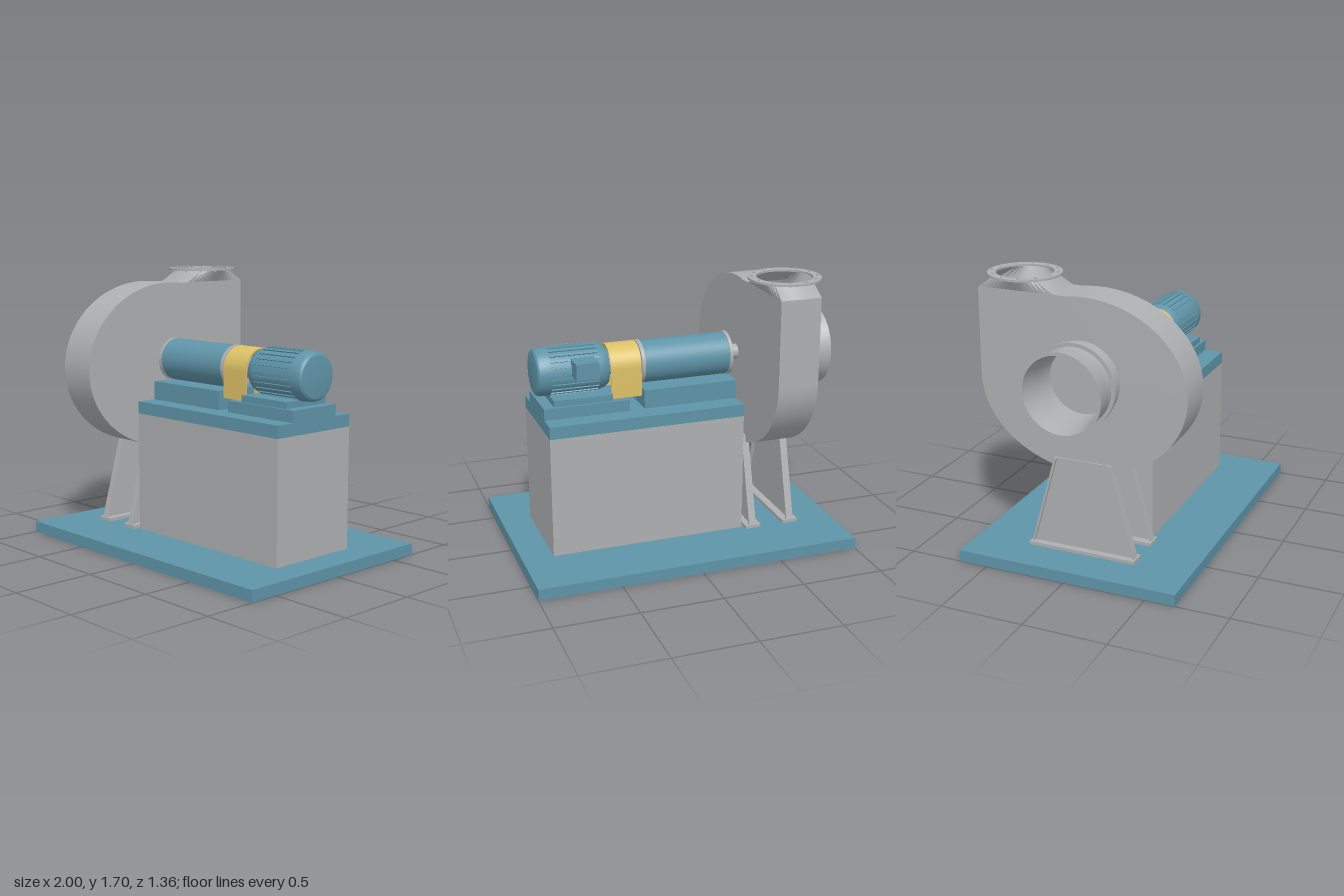
import * as THREE from 'three';
import { toCreasedNormals } from 'three/addons/utils/BufferGeometryUtils.js';

const AXIS_Y = 1.13; // height of the shaft line
const FAN_X0 = -0.715, FAN_X1 = -0.465;

export function createModel() {
  const root = new THREE.Group();
  root.name = 'centrifugalBlower';

  const mat = (name, color, side = THREE.FrontSide) => {
    const m = new THREE.MeshStandardMaterial({ color, side });
    m.name = name;
    return m;
  };
  const steel = mat('greySteel', 0xadafb1, THREE.DoubleSide);
  const teal = mat('tealPaint', 0x5f94a8);
  const yellow = mat('yellowGuard', 0xdcc066);

  const add = (name, geo, material, parent = root) => {
    const m = new THREE.Mesh(geo, material);
    m.name = name;
    parent.add(m);
    return m;
  };
  const box = (name, x0, x1, y0, y1, z0, z1, material) =>
    add(name, new THREE.BoxGeometry(x1 - x0, y1 - y0, z1 - z0)
      .translate((x0 + x1) / 2, (y0 + y1) / 2, (z0 + z1) / 2), material);
  // Turned part around the shaft line, profile given as [x, radius]
  const turned = (name, profile, material, seg = 64) => {
    const pts = profile.map(([x, r]) => new THREE.Vector2(r, x));
    const g = new THREE.LatheGeometry(pts, seg).rotateZ(-Math.PI / 2).translate(0, AXIS_Y, 0);
    return add(name, toCreasedNormals(g, 0.5), material);
  };
  const disc = (name, x0, x1, r, material) =>
    turned(name, [[x0, 0], [x0, r], [x1, r], [x1, 0]], material);
  // Outline drawn as (-z, y), extruded from x0 to x1
  const sideExtrude = (shape, x0, x1) => toCreasedNormals(
    new THREE.ExtrudeGeometry(shape, { depth: x1 - x0, bevelEnabled: false, curveSegments: 32 })
      .rotateY(Math.PI / 2).translate(x0, 0, 0), 0.5);
  // Sheet whose points come from a rule f(u, v)
  const sheet = (nu, f) => {
    const g = new THREE.PlaneGeometry(1, 1, nu, 1);
    const p = g.attributes.position, uv = g.attributes.uv;
    for (let i = 0; i < p.count; i++) p.setXYZ(i, ...f(uv.getX(i), uv.getY(i)));
    g.computeVertexNormals();
    return toCreasedNormals(g, 0.5);
  };

  // Base plate, plinth and stepped pedestals
  box('basePlate', -1, 1, 0, 0.07, -0.68, 0.68, teal);
  box('plinth', -0.4, 0.81, 0.07, 0.81, -0.3, 0.3, steel);
  box('plinthCap', -0.4, 0.81, 0.81, 0.885, -0.3, 0.3, teal);
  box('bearingPedestal', -0.4, 0.19, 0.885, 1.0, -0.17, 0.17, teal);
  box('motorPedestal', 0.285, 0.81, 0.885, 0.955, -0.18, 0.18, teal);
  box('motorFoot', 0.385, 0.745, 0.955, 0.995, -0.165, 0.165, teal);

  // Bearing housing and shaft
  disc('bearingHousing', -0.385, 0.185, 0.13, teal);
  disc('bearingRingFront', -0.395, -0.375, 0.135, steel);
  disc('bearingRingRear', 0.168, 0.19, 0.135, steel);
  disc('shaft', FAN_X1, -0.39, 0.046, steel);
  disc('coupling', 0.19, 0.39, 0.06, steel);

  // Coupling guard: arched sheet open at the bottom
  const guard = new THREE.Shape();
  guard.moveTo(0.132, 0.955).lineTo(0.132, AXIS_Y);
  guard.absarc(0, AXIS_Y, 0.132, 0, Math.PI, false);
  guard.lineTo(-0.132, 0.955).lineTo(-0.124, 0.955).lineTo(-0.124, AXIS_Y);
  guard.absarc(0, AXIS_Y, 0.124, Math.PI, 0, true);
  guard.lineTo(0.124, 0.955);
  add('couplingGuard', sideExtrude(guard, 0.195, 0.385), yellow);

  // Motor: body with rounded fan cover, cooling ribs, terminal box
  turned('motorBody', [[0.387, 0], [0.387, 0.118], [0.4, 0.128], [0.44, 0.141], [0.745, 0.141],
    [0.745, 0.147], [0.805, 0.144], [0.818, 0.139], [0.827, 0.128], [0.83, 0.112], [0.83, 0]], teal);
  const ribs = new THREE.Group();
  ribs.name = 'coolingRibs';
  root.add(ribs);
  for (let i = 0; i < 24; i++) {
    const rib = new THREE.BoxGeometry(0.29, 0.02, 0.013).translate(0.6, 0.138, 0)
      .rotateX((i + 0.5) * Math.PI / 12).translate(0, AXIS_Y, 0);
    add('coolingRib', rib, teal, ribs);
  }
  box('terminalBox', 0.485, 0.625, 1.125, 1.225, -0.235, -0.1, teal);

  // Scroll outline, from the outlet throat round to the straight outlet wall
  const scroll = [[-0.17, 1.605]];
  for (let i = 0; i <= 64; i++) {
    const a = THREE.MathUtils.lerp(1.73, Math.PI * -1, i / 64);
    const rz = Math.cos(a) > 0 ? 0.63 : 0.645;
    scroll.push([rz * Math.cos(a), 1.09 + 0.52 * Math.sin(a)]);
  }
  scroll.push([-0.645, 1.605]);
  const n = scroll.length - 1;
  add('scrollWall', sheet(n, (u, v) => {
    const [z, y] = scroll[Math.round(u * n)];
    return [v > 0.5 ? FAN_X0 : FAN_X1, y, z];
  }), steel);

  // Side plates, the left one open to the inlet
  for (const [name, x, hole] of [['inletSidePlate', FAN_X0, true], ['driveSidePlate', FAN_X1, false]]) {
    const plate = new THREE.Shape(scroll.map(([z, y]) => new THREE.Vector2(-z, y)));
    if (hole) plate.holes.push(new THREE.Path().absarc(0, AXIS_Y, 0.2, 0, Math.PI * 2, true));
    const g = new THREE.ShapeGeometry(plate, 48).rotateY(hole ? -Math.PI / 2 : Math.PI / 2);
    if (hole) g.rotateY(Math.PI).scale(1, 1, 1);
    add(name, g.translate(x, 0, 0), steel);
  }

  // Outlet: rectangle-to-round transition with a bolted flange
  const ox = -0.59, oz = -0.4075;
  add('outletTransition', sheet(64, (u, v) => {
    const a = -u * Math.PI * 2, c = Math.cos(a), s = Math.sin(a);
    const k = 1 / Math.max(Math.abs(c), Math.abs(s));
    return v < 0.5 ? [ox + 0.125 * c * k, 1.605, oz + 0.2375 * s * k]
      : [ox + 0.167 * c, 1.677, oz + 0.167 * s];
  }), steel);
  const ring = new THREE.Shape().absarc(0, 0, 0.215, 0, Math.PI * 2, false);
  ring.holes.push(new THREE.Path().absarc(0, 0, 0.166, 0, Math.PI * 2, true));
  add('outletFlange', toCreasedNormals(new THREE.ExtrudeGeometry(ring,
    { depth: 0.012, bevelEnabled: false, curveSegments: 32 }), 0.5)
    .rotateX(-Math.PI / 2).translate(ox, 1.676, oz), steel);

  // Inlet: collar, flared mouth and flange
  turned('inletDuct', [[-1, 0.246], [-0.96, 0.24], [-0.9, 0.23], [-0.84, 0.226], [-0.8, 0.23],
    [FAN_X0, 0.23], [FAN_X0, 0.2], [-0.84, 0.205], [-0.9, 0.21], [-0.96, 0.22], [-1, 0.227], [-1, 0.246]], steel);
  turned('inletFlange', [[-0.825, 0.215], [-0.825, 0.25], [-0.803, 0.25], [-0.803, 0.215]], steel);

  // Flange bolts
  for (let i = 0; i < 12; i++) {
    const a = (i + 0.5) * Math.PI / 6, c = Math.cos(a), s = Math.sin(a);
    add('outletBolt', new THREE.CylinderGeometry(0.007, 0.007, 0.028, 8)
      .translate(ox + 0.192 * c, 1.682, oz + 0.192 * s), steel);
    add('inletBolt', new THREE.CylinderGeometry(0.006, 0.006, 0.036, 8).rotateZ(Math.PI / 2)
      .translate(-0.814, AXIS_Y + 0.24 * c, 0.24 * s), steel);
  }

  // Fan legs: tapered web with sloping edge flanges on a foot plate
  const profile = (pts) => new THREE.Shape(pts.map(([a, b]) => new THREE.Vector2(a, b)));
  for (const side of [-1, 1]) {
    const x = -0.59 + side * 0.125;
    const mid = x + side * 0.004;
    add('legWeb', sideExtrude(profile([[-0.325, 0.09], [0.325, 0.09], [0.175, 0.64], [-0.175, 0.64]]),
      mid - 0.005, mid + 0.005), steel);
    for (const s of [-1, 1]) {
      const edge = [[0.33, 0.09], [0.177, 0.64], [0.162, 0.64], [0.315, 0.09]];
      add('legFlange', sideExtrude(profile(edge.map(([a, b]) => [a * s, b])),
        x - 0.0225 + side * 0.002, x + 0.0225 + side * 0.002), steel);
    }
    box('legFoot', x - 0.05, x + 0.05, 0.07, 0.09, -0.337, 0.337, steel);
  }

  return root;
}
